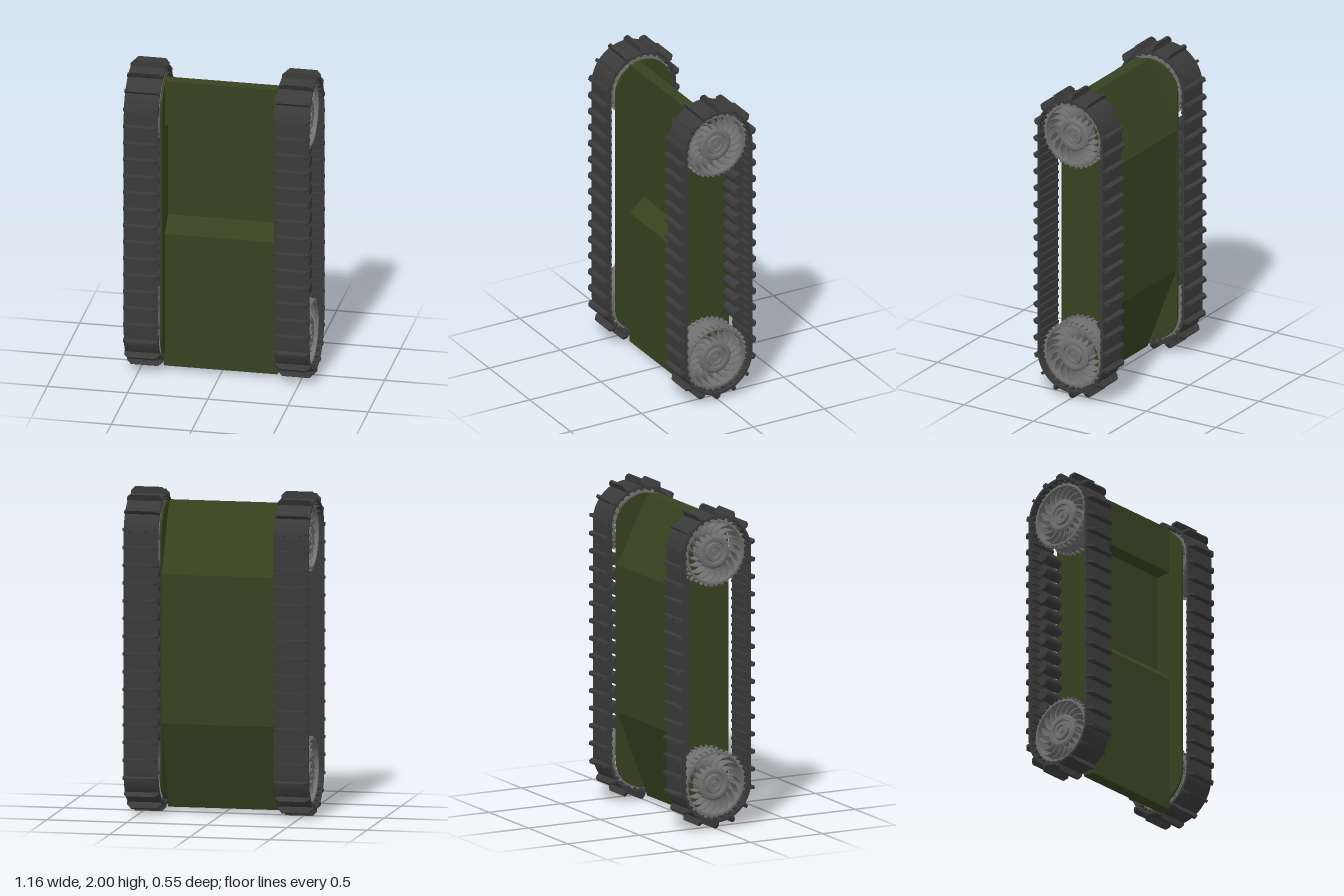
import * as THREE from 'three';

const LOW = 0.275, HIGH = 1.725, SPAN = HIGH - LOW; // wheel axle heights
const material = (color) => new THREE.MeshStandardMaterial({ color, side: THREE.DoubleSide });
const hullMat = material(0x36421f);
const trackMat = material(0x3a3a3a);
const wheelMat = material(0x707070);

function addMesh(parent, name, geometry, mat) {
  const mesh = new THREE.Mesh(geometry, mat);
  mesh.name = name;
  parent.add(mesh);
  return mesh;
}

const extrude = (shape, depth, bevel = 0) => new THREE.ExtrudeGeometry(shape, {
  depth, curveSegments: 28, bevelEnabled: bevel > 0,
  bevelThickness: bevel, bevelSize: bevel, bevelOffset: -bevel, bevelSegments: 2,
});
const polygon = (points) => new THREE.Shape(points.map(([x, y]) => new THREE.Vector2(x, y)));

// Upright loop with round ends about both axles
function stadium(r, Type = THREE.Shape) {
  const s = new Type();
  s.moveTo(r, LOW);
  s.lineTo(r, HIGH);
  s.absarc(0, HIGH, r, 0, Math.PI, false);
  s.lineTo(-r, LOW);
  s.absarc(0, LOW, r, Math.PI, Math.PI * 2, false);
  return s;
}

function ring(outer, inner) {
  const s = new THREE.Shape().absarc(0, 0, outer, 0, Math.PI * 2, false);
  s.holes.push(new THREE.Path().absarc(0, 0, inner, 0, Math.PI * 2, true));
  return s;
}

// Frame on the loop at fraction t (0 = top centre): X across, Y outward, Z along
function loopFrame(t, r) {
  const quarter = Math.PI * r / 2, total = 4 * quarter + 2 * SPAN;
  let d = t * total, angle, y;
  if (d < quarter) { angle = Math.PI / 2 - d / r; y = HIGH; }
  else if ((d -= quarter) < SPAN) { angle = 0; y = HIGH - d; }
  else if ((d -= SPAN) < 2 * quarter) { angle = -d / r; y = LOW; }
  else if ((d -= 2 * quarter) < SPAN) { angle = Math.PI; y = LOW + d; }
  else { angle = Math.PI - (d - SPAN) / r; y = HIGH; }
  const across = new THREE.Vector3(0, 0, 1);
  const out = new THREE.Vector3(Math.cos(angle), Math.sin(angle), 0);
  return new THREE.Matrix4()
    .makeBasis(across, out, across.clone().cross(out))
    .setPosition(0, y, 0);
}

function repeatOnLoop(parent, name, geometry, count) {
  for (let i = 0; i < count; i++) {
    addMesh(parent, name, geometry.clone().applyMatrix4(loopFrame(i / count, 0.235)), trackMat);
  }
}

// Thin swept spoke from hub to rim
function spokeShape() {
  const a = [], b = [];
  for (let i = 0; i <= 6; i++) {
    const t = i / 6, r = 0.095 + 0.095 * t, angle = 0.42 * t * t, w = 0.004 / r;
    a.push([r * Math.cos(angle - w), r * Math.sin(angle - w)]);
    b.unshift([r * Math.cos(angle + w), r * Math.sin(angle + w)]);
  }
  return polygon([...a, ...b]);
}

function makeWheel(name) {
  const wheel = new THREE.Group();
  wheel.name = name;
  addMesh(wheel, 'rim', extrude(ring(0.201, 0.188), 0.165), wheelMat).position.z = 0.385;
  const spoke = extrude(spokeShape(), 0.07);
  for (let i = 0; i < 18; i++) {
    const m = addMesh(wheel, 'spoke', spoke, wheelMat);
    m.position.z = 0.46;
    m.rotation.z = i / 18 * Math.PI * 2;
  }
  // Stepped hub and axle
  const profile = [[0.05, 0.36], [0.05, 0.455], [0.105, 0.455], [0.105, 0.535], [0.09, 0.543],
    [0.072, 0.543], [0.068, 0.532], [0.06, 0.532], [0.055, 0.548], [0.034, 0.548], [0.03, 0.538], [0, 0.538]];
  const hub = new THREE.LatheGeometry(profile.map(([r, h]) => new THREE.Vector2(r, h)), 36);
  const flatHub = hub.toNonIndexed();
  flatHub.computeVertexNormals();
  addMesh(wheel, 'hub', flatHub.rotateX(Math.PI / 2), wheelMat);
  addMesh(wheel, 'hubNut', new THREE.CylinderGeometry(0.02, 0.02, 0.015, 6).rotateX(Math.PI / 2), wheelMat)
    .position.z = 0.543;
  // Drive teeth in two rows
  const tooth = new THREE.BoxGeometry(0.018, 0.008, 0.03).translate(0.206, 0, 0);
  for (let i = 0; i < 36; i++) {
    for (const z of [0.405, 0.53]) {
      const m = addMesh(wheel, 'driveTooth', tooth, wheelMat);
      m.position.z = z;
      m.rotation.z = (i + 0.5) / 36 * Math.PI * 2;
    }
  }
  return wheel;
}

// Track, wheels and rollers of one side; local z runs outward
function makeSide(name) {
  const side = new THREE.Group();
  side.name = name;
  const inner = new THREE.Group();
  inner.rotation.y = Math.PI / 2;
  side.add(inner);

  const belt = stadium(0.235);
  belt.holes.push(stadium(0.22, THREE.Path));
  addMesh(inner, 'trackBelt', extrude(belt, 0.215), trackMat).position.z = 0.362;

  const cleat = extrude(polygon([[0.362, 0.225], [0.58, 0.225], [0.58, 0.25], [0.555, 0.275],
    [0.387, 0.275], [0.362, 0.25]]), 0.018).translate(0, 0, -0.009);
  repeatOnLoop(inner, 'trackCleat', cleat, 40);
  const guide = new THREE.BoxGeometry(0.19, 0.016, 0.016).translate(0.47, 0.214, 0);
  repeatOnLoop(inner, 'trackGuide', guide, 80);

  for (const y of [LOW, HIGH]) {
    const wheel = makeWheel(y === LOW ? 'lowerWheel' : 'upperWheel');
    wheel.position.y = y;
    inner.add(wheel);
  }
  const roller = new THREE.CylinderGeometry(0.037, 0.037, 0.15, 20).rotateX(Math.PI / 2);
  for (let i = 0; i < 12; i++) {
    addMesh(inner, 'roller', roller, trackMat).position.set(0.186, 0.5 + i * 0.0927, 0.43);
  }
  addMesh(inner, 'sidePlate', extrude(stadium(0.195), 0.014), hullMat).position.z = 0.348;
  return side;
}

export function createModel() {
  const model = new THREE.Group();
  model.name = 'trackedChassis';

  // Hull profile, drawn as (-z, y) and extruded across
  const profile = polygon([[-0.097, 0.025], [-0.02, 0.025], [0.19, 0.57], [0.19, 1.49], [-0.02, 1.912],
    [-0.097, 1.912], [-0.097, 1.62], [0, 1.615], [0, 0.99], [-0.097, 0.9]]);
  const hull = addMesh(model, 'hull', extrude(profile, 0.7, 0.006), hullMat);
  hull.rotation.y = Math.PI / 2;
  hull.position.x = -0.35;

  const left = makeSide('leftTrack');
  const right = makeSide('rightTrack');
  right.scale.x = -1;
  model.add(left, right);
  return model;
}
